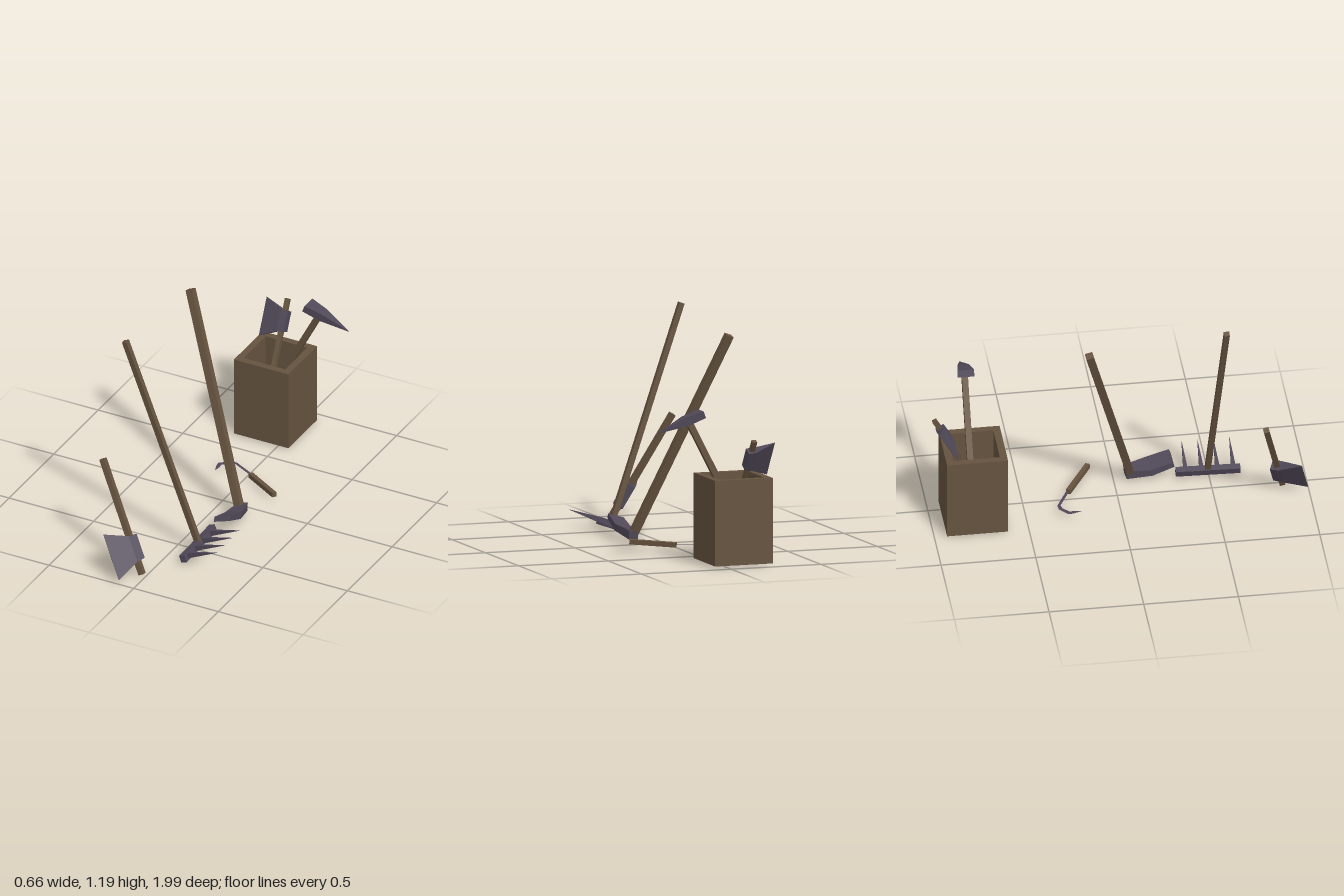
import * as THREE from 'three';

const V = (x, y, z) => new THREE.Vector3(x, y, z);
const wood = new THREE.MeshStandardMaterial({ color: 0x66533f, side: THREE.DoubleSide, flatShading: true });
wood.name = 'brown wood';
const metal = new THREE.MeshStandardMaterial({ color: 0x504858, side: THREE.DoubleSide, flatShading: true });
metal.name = 'dark metal';

// Skins a row of four-cornered rings; closes the ends on request and faces outwards
function loft(rings, capStart = true, capEnd = true) {
  const tris = [];
  const quad = (a, b, c, d) => tris.push([a, b, c], [a, c, d]);
  for (let i = 0; i < rings.length - 1; i++) {
    for (let j = 0; j < 4; j++) {
      const k = (j + 1) % 4;
      quad(rings[i][j], rings[i][k], rings[i + 1][k], rings[i + 1][j]);
    }
  }
  if (capStart) quad(...[...rings[0]].reverse());
  if (capEnd) quad(...rings[rings.length - 1]);
  let volume = 0;
  for (const [a, b, c] of tris) volume += a.dot(b.clone().cross(c));
  const points = tris.flatMap(([a, b, c]) => (volume < 0 ? [a, c, b] : [a, b, c]));
  const geo = new THREE.BufferGeometry().setFromPoints(points);
  geo.computeVertexNormals();
  return geo;
}

// Rectangle around a centre, spanned by two half-extent vectors
function ring(c, u, v) {
  return [[-1, -1], [1, -1], [1, 1], [-1, 1]].map(([a, b]) => c.clone().addScaledVector(u, a).addScaledVector(v, b));
}

function add(group, name, geo, material) {
  const mesh = new THREE.Mesh(geo, material);
  mesh.name = name;
  group.add(mesh);
  return mesh;
}

function toolGroup(parent, name) {
  const g = new THREE.Group();
  g.name = name;
  parent.add(g);
  return g;
}

// Square wooden pole between two points
function pole(group, from, to, half) {
  const d = to.clone().sub(from).normalize();
  const u = V(1, 0, 0).addScaledVector(d, -d.x);
  if (u.length() < 0.5) u.set(0, 1, 0).addScaledVector(d, -d.y);
  u.normalize();
  const v = d.clone().cross(u).multiplyScalar(half);
  u.multiplyScalar(half);
  add(group, 'handle', loft([ring(from, u, v), ring(to, u, v)]), wood);
}

// Axe: flared wedge head near the end of a pole
function axe(parent, name, tail, end, bladeDir, s) {
  const g = toolGroup(parent, name);
  pole(g, tail, end, 0.015 * s);
  const d = end.clone().sub(tail).normalize();
  const b = bladeDir.clone().addScaledVector(d, -bladeDir.dot(d)).normalize();
  const n = d.clone().cross(b);
  const c = end.clone().addScaledVector(d, -0.145 * s);
  const section = (out, h, t) => ring(c.clone().addScaledVector(b, out * s), d.clone().multiplyScalar(h * s), n.clone().multiplyScalar(t * s));
  add(g, 'axeHead', loft([section(-0.03, 0.066, 0.03), section(0.02, 0.072, 0.028), section(0.145, 0.127, 0.001)]), metal);
}

export function createModel() {
  const model = new THREE.Group();
  model.name = 'gardenTools';

  // Hollow crate, open below, with a raised inner floor
  const crateRing = (y, h) => ring(V(-0.096, y, -0.773), V(h, 0, 0), V(0, 0, h));
  add(model, 'crate', loft([crateRing(0.013, 0.161), crateRing(0.465, 0.161), crateRing(0.465, 0.123), crateRing(0.18, 0.123)], false, true), wood);

  // Axes
  axe(model, 'largeAxe', V(-0.318, 0.57, 0.742), V(-0.02, 0.015, 0.868), V(-0.373, -0.124, 0.918), 1);
  axe(model, 'smallAxe', V(-0.118, 0.22, -0.73), V(-0.135, 0.672, -0.985), V(-1, 0.04, 0), 0.82);

  // Pick with a broad rear blade and a long point
  const pick = toolGroup(model, 'pick');
  pole(pick, V(-0.145, 0.18, -0.785), V(0.172, 0.79, -0.785), 0.016);
  const along = V(0.935, -0.355, 0);
  const up = V(0.355, 0.935, 0);
  const pickRing = (s, w, t) => ring(V(0.084, 0.802, -0.787).addScaledVector(along, s), up.clone().multiplyScalar(t), V(0, 0, w));
  add(pick, 'pickHead', loft([pickRing(0, 0.044, 0.019), pickRing(0.1, 0.03, 0.023), pickRing(0.262, 0.001, 0.001)]), metal);

  // Rake: pole, crossbar and four tapered tines
  const rake = toolGroup(model, 'rake');
  pole(rake, V(0.115, 0.045, 0.493), V(-0.292, 1.187, 0.538), 0.0145);
  const rx = V(0.94, 0.34, 0);
  const ry = V(-0.34, 0.94, 0);
  const barRing = (z, y) => ring(V(0.114, y, z), rx.clone().multiplyScalar(0.017), ry.clone().multiplyScalar(0.02));
  add(rake, 'crossbar', loft([barRing(0.325, 0.045), barRing(0.665, 0.036)]), metal);
  for (let i = 0; i < 4; i++) {
    const z = 0.378 + i * 0.084;
    const base = V(0.125, 0.046, z);
    const tip = V(0.298, 0.11, z + 0.003);
    add(rake, 'tine', loft([
      ring(base, ry.clone().multiplyScalar(0.015), V(0, 0, 0.011)),
      ring(tip, ry.clone().multiplyScalar(0.0007), V(0, 0, 0.0007)),
    ]), metal);
  }

  // Hoe: pole with a bent, widening blade
  const hoe = toolGroup(model, 'hoe');
  pole(hoe, V(0.143, 0.05, 0.087), V(-0.29, 1.115, -0.188), 0.02);
  add(hoe, 'hoeBlade', loft([
    ring(V(0.151, 0.044, 0.062), V(0.026, 0.004, -0.004), V(0, 0.024, -0.002)),
    ring(V(0.161, 0.062, 0.193), V(0.047, 0.012, -0.004), V(0, 0.018, -0.006)),
    ring(V(0.159, 0.104, 0.31), V(0.045, 0.013, -0.004), V(0, 0.013, -0.005)),
  ]), metal);

  // Sickle lying flat: short grip and a thin hooked blade
  const sickle = toolGroup(model, 'sickle');
  pole(sickle, V(0.03, 0.032, -0.255), V(0.24, 0.042, -0.122), 0.0125);
  const outline = [
    [0.04, -0.262], [-0.09, -0.329], [-0.125, -0.326], [-0.175, -0.282], [-0.172, -0.255], [-0.155, -0.205],
    [-0.149, -0.245], [-0.152, -0.272], [-0.117, -0.305], [-0.09, -0.312], [0.04, -0.244],
  ];
  const shape = new THREE.Shape(outline.map(([x, z]) => new THREE.Vector2(x, -z)));
  const blade = add(sickle, 'sickleBlade', new THREE.ShapeGeometry(shape).rotateX(-Math.PI / 2), metal);
  blade.position.y = 0.034;

  return model;
}
